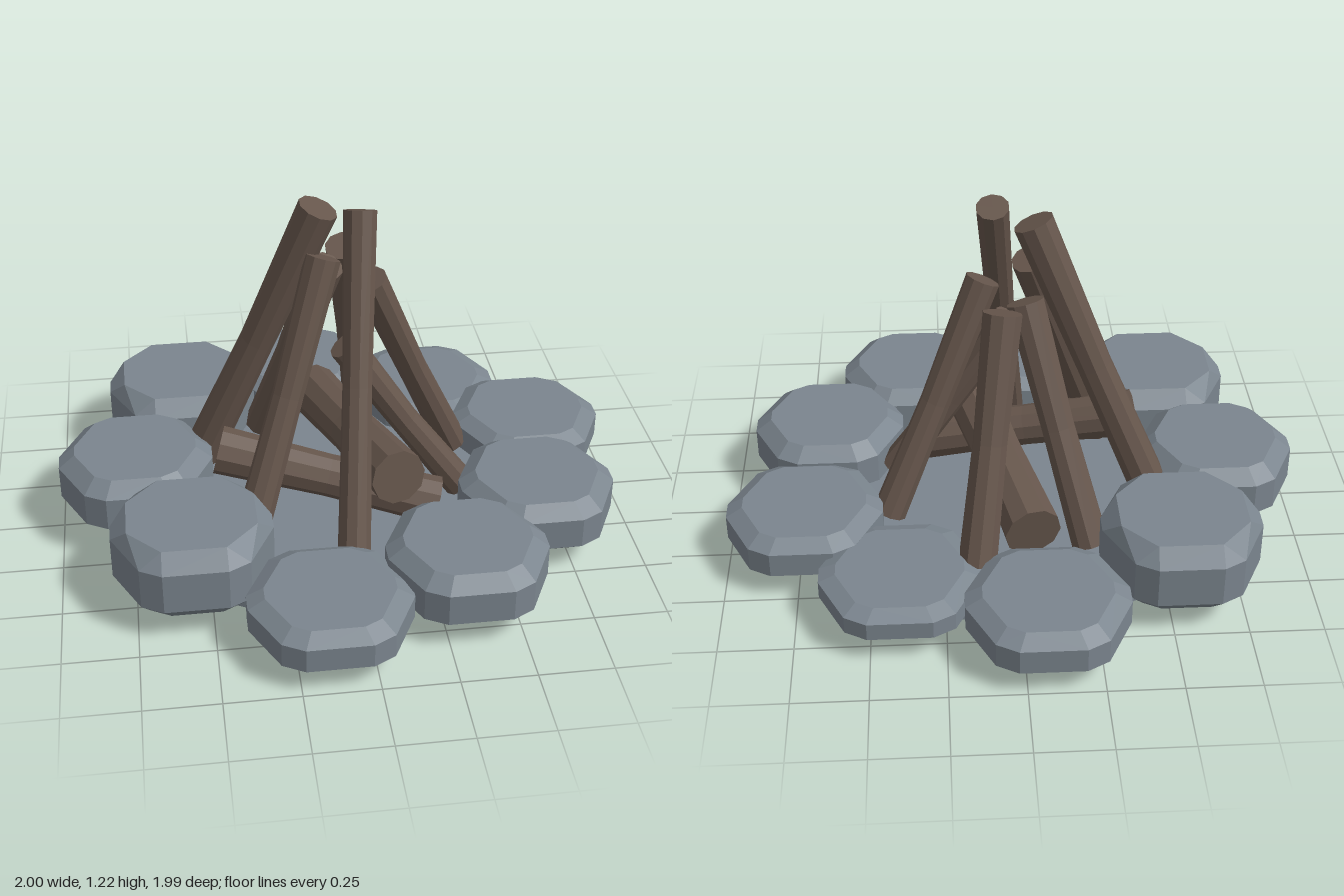
import * as THREE from 'three';
import { ConvexGeometry } from 'three/addons/geometries/ConvexGeometry.js';

const stoneMat = new THREE.MeshStandardMaterial({ color: 0x7b858e, flatShading: true });
const woodMat = new THREE.MeshStandardMaterial({ color: 0x66564c, flatShading: true });

// mirror one quadrant of [x, z] corners into a full outline
const mirror = (quad) => quad.flatMap(([x, z]) => [[x, z], [-x, z], [x, -z], [-x, -z]]);
const rim = mirror([[0.107, 0.255], [0.18, 0.215], [0.27, 0.036]]);
const softFace = rim.map(([x, z]) => [x * 0.79, z * 0.79]);
const octagonFace = mirror([[0.105, 0.2], [0.214, 0.085]]);

// chamfered slab: bottom face, two rim rings, top face
function slab(name, x, z, y0, y1, scale = 1, face = softFace) {
  const bevel = (y1 - y0) * 0.22;
  const ring = (pts, y) => pts.map(([px, pz]) => new THREE.Vector3(px * scale, y, pz * scale));
  const mesh = new THREE.Mesh(new ConvexGeometry([
    ...ring(softFace, y0), ...ring(rim, y0 + bevel),
    ...ring(rim, y1 - bevel), ...ring(face, y1),
  ]), stoneMat);
  mesh.name = name;
  mesh.position.set(x, 0, z);
  return mesh;
}

// ten-sided log between two points, slightly waisted and sagging in the middle
function log(name, top, bottom, r, sag = 0.012) {
  const a = new THREE.Vector3(...top), b = new THREE.Vector3(...bottom);
  const axis = a.clone().sub(b), len = axis.length();
  const geo = new THREE.CylinderGeometry(r, r, len, 10, 2);
  const p = geo.attributes.position;
  for (let i = 0; i < p.count; i++) {
    if (Math.abs(p.getY(i)) < 0.01) {
      p.setXYZ(i, p.getX(i) * 0.88, p.getY(i), p.getZ(i) * 0.88);
    }
  }
  geo.applyQuaternion(new THREE.Quaternion().setFromUnitVectors(new THREE.Vector3(0, 1, 0), axis.normalize()));
  const mid = a.clone().add(b).multiplyScalar(0.5);
  for (let i = 0; i < p.count; i++) {
    const along = p.getX(i) * axis.x + p.getY(i) * axis.y + p.getZ(i) * axis.z;
    if (Math.abs(along) < 0.01) p.setY(i, p.getY(i) - sag);
  }
  geo.computeVertexNormals();
  const mesh = new THREE.Mesh(geo, woodMat);
  mesh.name = name;
  mesh.position.copy(mid);
  return mesh;
}

export function createModel() {
  const model = new THREE.Group();
  model.name = 'campfire';

  model.add(slab('groundSlab', 0, -0.01, 0, 0.08, 2.53));

  // ring of stones: x, z, bottom, top, octagonal top
  const stones = new THREE.Group();
  stones.name = 'stoneRing';
  [
    [-0.08, -0.745, 0.055, 0.21],
    [0.4, -0.57, 0.07, 0.18],
    [0.73, -0.235, 0.06, 0.215],
    [0.66, 0.24, 0.06, 0.255],
    [0.345, 0.59, 0.06, 0.26],
    [-0.13, 0.735, 0.055, 0.205],
    [-0.555, 0.435, 0.065, 0.325, true],
    [-0.73, -0.03, 0.085, 0.295],
    [-0.545, -0.49, 0.065, 0.325, true],
  ].forEach(([x, z, y0, y1, tall], i) =>
    stones.add(slab(`ringStone${i + 1}`, x, z, y0, y1, 1, tall ? octagonFace : softFace)));
  model.add(stones);

  // leaning logs: top, bottom, radius
  const logs = new THREE.Group();
  logs.name = 'logPile';
  [
    [[-0.07, 1.175, -0.045], [-0.49, 0.16, -0.17], 0.07],
    [[0.06, 1.195, 0.03], [-0.015, 0.13, 0.465], 0.057],
    [[0.04, 0.94, -0.225], [0.14, 0.14, -0.51], 0.067],
    [[0.095, 0.93, 0.02], [0.44, 0.12, -0.19], 0.06],
    [[-0.06, 1.015, 0], [-0.34, 0.14, 0.27], 0.062],
    [[0, 0.73, 0.1], [0.42, 0.12, 0.09], 0.058],
    [[-0.04, 0.92, -0.12], [-0.25, 0.12, -0.4], 0.066],
  ].forEach(([t, b, r], i) => logs.add(log(`leaningLog${i + 1}`, t, b, r)));

  // thick logs lying across the bottom
  logs.add(log('lyingLogFrontToBack', [0.155, 0.33, 0.33], [-0.05, 0.22, -0.46], 0.098, 0));
  logs.add(log('lyingLogSideToSide', [-0.44, 0.33, 0.08], [0.31, 0.15, 0.23], 0.085, 0));
  model.add(logs);

  return model;
}
